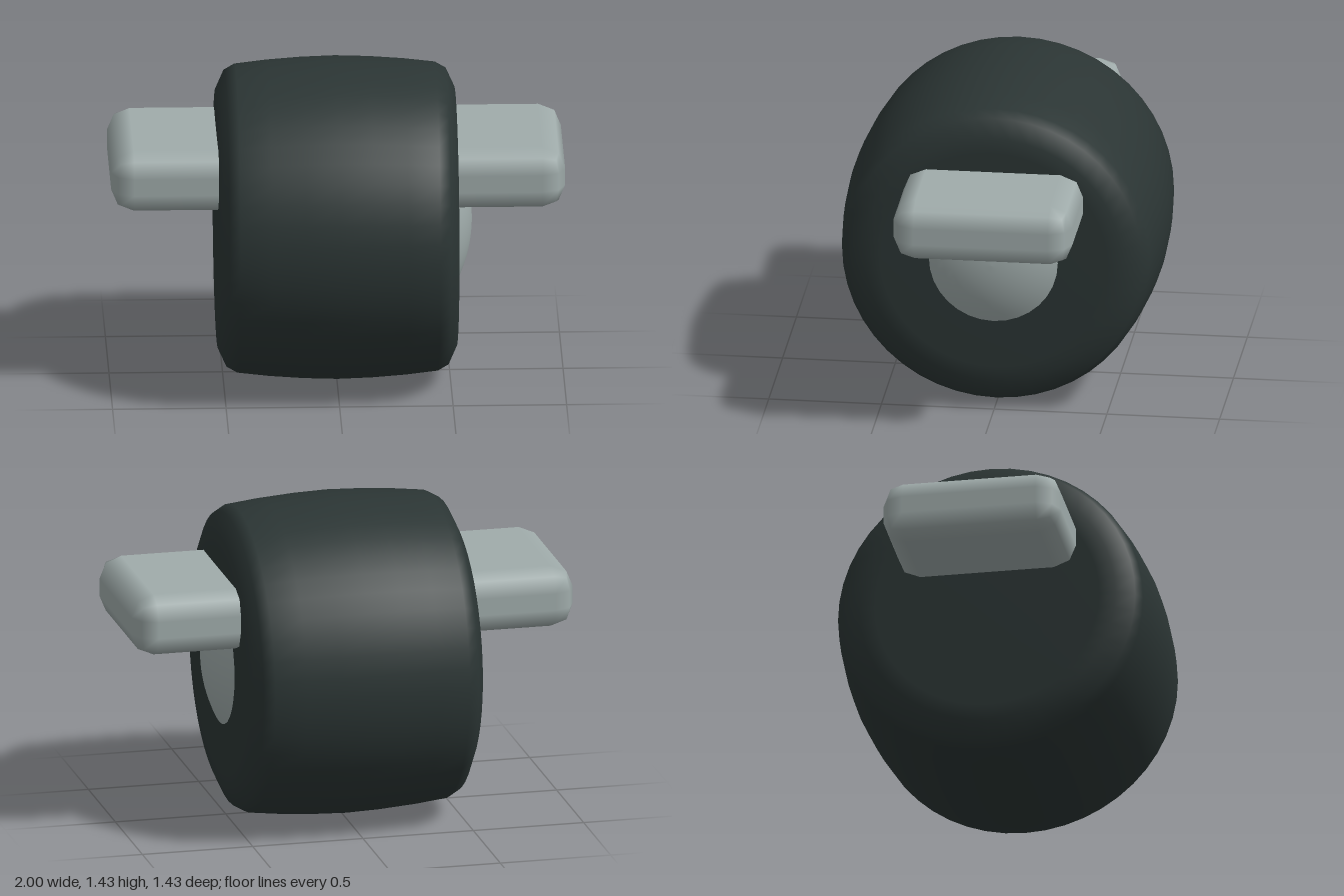
import * as THREE from 'three';
import { RoundedBoxGeometry } from 'three/addons/geometries/RoundedBoxGeometry.js';

const AXLE_Y = 0.72;
const rubber = new THREE.MeshStandardMaterial({ color: 0x2b3534 });
const metal = new THREE.MeshStandardMaterial({ color: 0xa0acab });

// Solid of revolution around the x axis; points are [radius, x]
function turned(name, points, segments, material) {
  const geometry = new THREE.LatheGeometry(points.map(([r, x]) => new THREE.Vector2(r, x)), segments);
  geometry.rotateZ(-Math.PI / 2);
  const mesh = new THREE.Mesh(geometry, material);
  mesh.name = name;
  mesh.position.y = AXLE_Y;
  return mesh;
}

export function createModel() {
  const model = new THREE.Group();
  model.name = 'wheelWithCrossbar';

  // Wide tyre: crowned tread, rounded shoulders, flat side faces
  const half = [[0.714, 0], [0.709, 0.15], [0.698, 0.3], [0.682, 0.44], [0.655, 0.488],
    [0.572, 0.526], [0.5, 0.528], [0.27, 0.53], [0, 0.53]];
  const mirrored = half.slice(1).reverse().map(([r, x]) => [r, -x]);
  model.add(turned('tyre', [...mirrored, ...half], 48, rubber));

  // Shallow domed hub cap on the left side only
  const rim = 0.29, height = 0.07;
  const radius = (rim * rim + height * height) / (2 * height);
  const dome = [];
  for (let i = 0; i <= 8; i++) {
    const r = rim * (1 - i / 8);
    dome.push([r, 0.528 + height - radius + Math.sqrt(radius * radius - r * r)]);
  }
  model.add(turned('hubCap', dome, 32, metal));

  // Flat crossbar running through the wheel, with rounded edges
  const bar = new THREE.Mesh(new RoundedBoxGeometry(2, 0.276, 0.796, 1, 0.1), metal);
  bar.name = 'crossbar';
  bar.position.y = 0.998;
  model.add(bar);

  return model;
}
